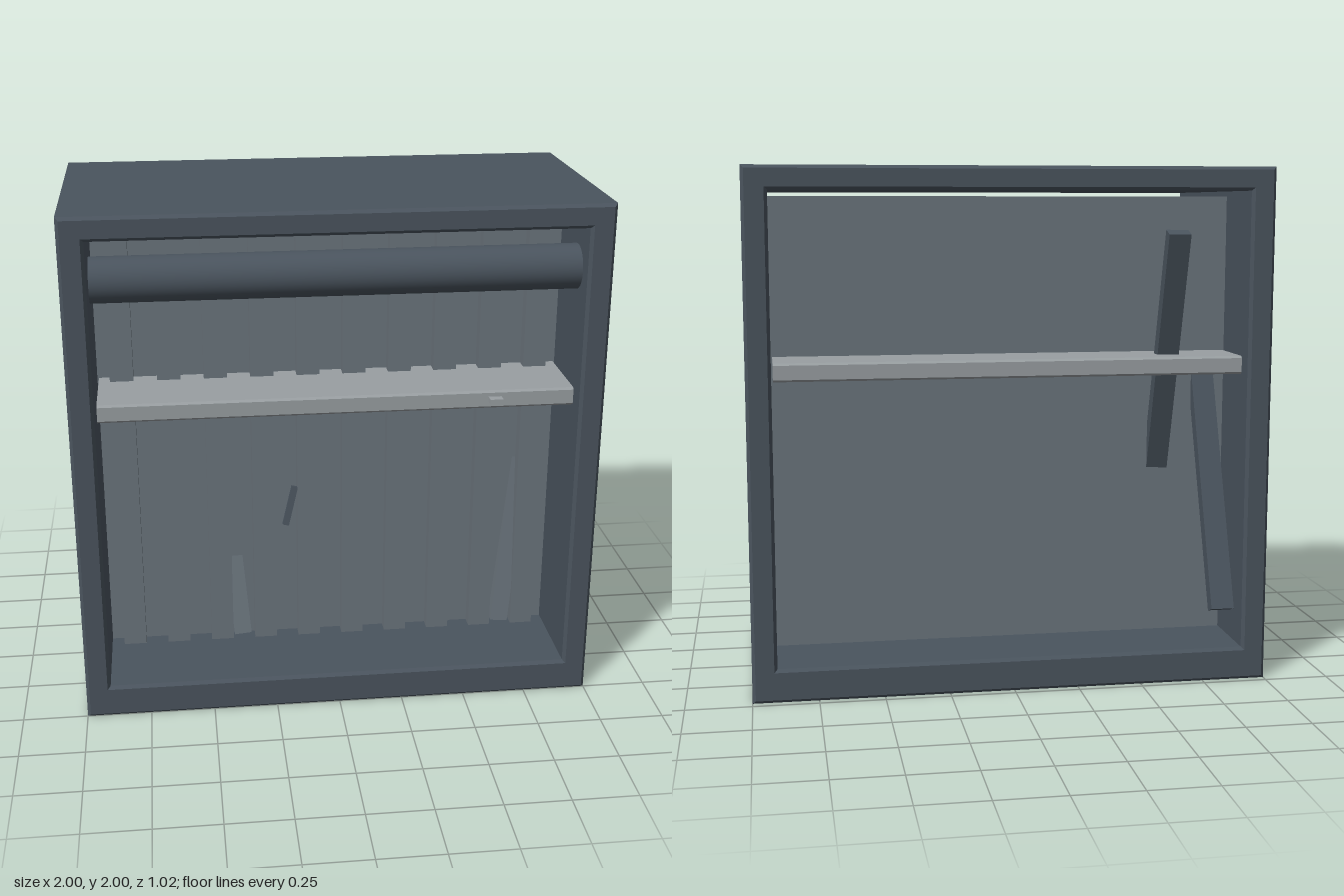
import * as THREE from 'three';

const mat = (name, color) => {
  const m = new THREE.MeshStandardMaterial({ color });
  m.name = name;
  return m;
};

export function createModel() {
  const root = new THREE.Group();
  root.name = 'shutteredBox';
  const steel = mat('dark slate', 0x4a545e);
  const sheet = mat('grey sheet', 0x6b757d);
  const pale = mat('pale grey', 0x999fa2);

  const add = (name, geo, material, x, y, z) => {
    const mesh = new THREE.Mesh(geo, material);
    mesh.name = name;
    mesh.position.set(x, y, z);
    root.add(mesh);
    return mesh;
  };
  const box = (name, material, w, h, d, x, y, z) =>
    add(name, new THREE.BoxGeometry(w, h, d), material, x, y, z);
  const rectangle = (path, x, y0, y1) =>
    path.moveTo(-x, y0).lineTo(x, y0).lineTo(x, y1).lineTo(-x, y1).closePath();

  // Deep open frame with small chamfers
  const outline = rectangle(new THREE.Shape(), 1, 0, 2);
  outline.holes.push(rectangle(new THREE.Path(), 0.905, 0.13, 1.91));
  const bevel = 0.012;
  const frame = new THREE.ExtrudeGeometry(outline, {
    depth: 0.99 - 2 * bevel, bevelEnabled: true, bevelSegments: 1,
    bevelSize: bevel, bevelThickness: bevel, bevelOffset: -bevel,
  });
  add('frame', frame, steel, 0, 0, -0.48 + bevel);

  // Wall across the middle, leaving a narrow gap at the top
  box('shutterWall', sheet, 1.808, 1.76, 0.295, 0, 1.01, -0.0225);

  // Raised vertical ribs on the front of the wall
  for (let i = 0; i < 10; i++) {
    box('shutterRib', sheet, 0.09, 1.74, 0.055, -0.81 + i * 0.18, 1.0, 0.15);
  }

  // Roller housing above the shutter
  const roller = new THREE.CylinderGeometry(0.085, 0.085, 1.8, 32);
  roller.rotateZ(Math.PI / 2);
  add('roller', roller, steel, 0, 1.737, 0.37);

  // Shelf passing through the wall, with chamfered long edges
  const c = 0.008;
  const section = new THREE.Shape();
  section.moveTo(-0.43 + c, -0.035).lineTo(0.43 - c, -0.035).lineTo(0.43, -0.035 + c)
    .lineTo(0.43, 0.035 - c).lineTo(0.43 - c, 0.035).lineTo(-0.43 + c, 0.035)
    .lineTo(-0.43, 0.035 - c).lineTo(-0.43, -0.035 + c).closePath();
  const shelf = new THREE.ExtrudeGeometry(section, { depth: 1.796, bevelEnabled: false });
  shelf.translate(0, 0, -0.898);
  shelf.rotateY(-Math.PI / 2);
  add('shelf', shelf, pale, 0, 1.243, 0.01);
  box('shelfLatch', pale, 0.05, 0.02, 0.05, 0.595, 1.245, 0.45);

  // Loose slats: a bar stretched between two end points
  const slat = (name, material, width, thick, from, to) => {
    const a = new THREE.Vector3(...from), b = new THREE.Vector3(...to);
    const dir = b.clone().sub(a);
    const mid = a.clone().add(b).multiplyScalar(0.5);
    const mesh = box(name, material, width, dir.length(), thick, mid.x, mid.y, mid.z);
    mesh.quaternion.setFromUnitVectors(new THREE.Vector3(0, 1, 0), dir.normalize());
  };
  slat('leaningSlat', steel, 0.09, 0.05, [-0.815, 0.29, -0.485], [-0.815, 1.82, 0.09]);
  slat('leaningSlat', steel, 0.085, 0.055, [-0.63, 1.755, -0.445], [-0.635, 0.3, 0.02]);

  // Slat corners that break through the front of the shutter
  slat('brokenSlat', steel, 0.025, 0.02, [-0.185, 0.645, 0.19], [-0.145, 0.8, 0.165]);
  slat('bentSlat', sheet, 0.07, 0.05, [-0.365, 0.145, 0.15], [-0.4, 0.55, 0.09]);
  slat('bentSlat', sheet, 0.07, 0.05, [0.715, 0.145, 0.155], [0.8, 1.0, 0.09]);

  return root;
}
